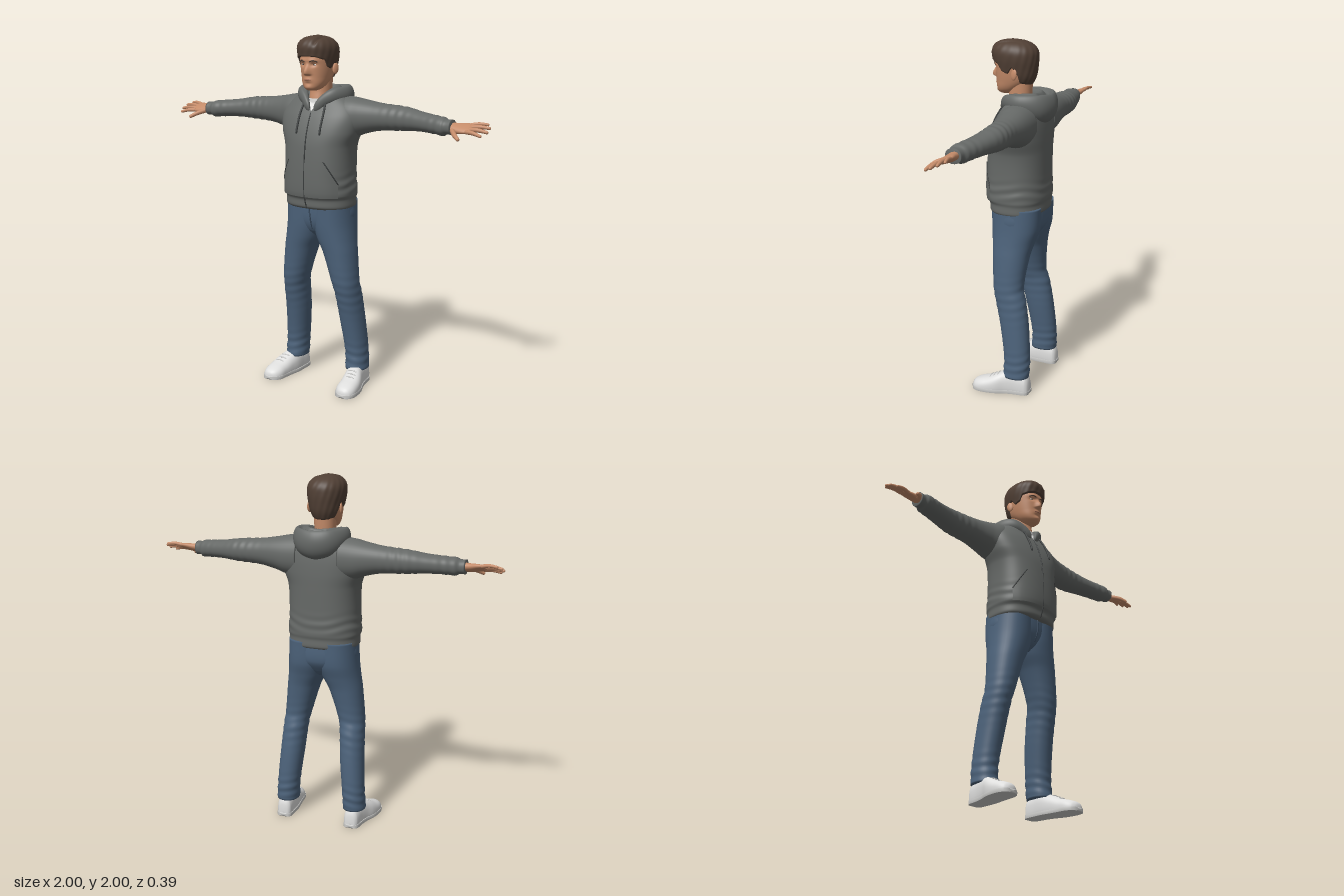
import * as THREE from 'three';
import { mergeVertices } from 'three/addons/utils/BufferGeometryUtils.js';

const paint = (name, color) => Object.assign(new THREE.MeshStandardMaterial({ color }), { name });
const skin = paint('skin', 0xc48b69), hairMat = paint('hair', 0x514035), grey = paint('hoodie', 0x666967);
const dark = paint('cord', 0x3d4040), white = paint('shirt', 0xe6e6e4), denim = paint('denim', 0x4c627a);
const seamMat = paint('denim seam', 0x3b4d61), shoeMat = paint('shoe', 0xdededd), lipMat = paint('lips', 0xa8705a);
const soleMat = paint('sole', 0xc9c9c7);

const V = (x, y, z) => new THREE.Vector3(x, y, z);
const gauss = (d, w) => Math.exp(-((d / w) ** 2));
const { smoothstep, lerp } = THREE.MathUtils;

// Smooth grid surface; closed ones are capped, open ones face +z
function surface(nu, nv, fn, closed = true) {
  const rows = [];
  for (let i = 0; i <= nu; i++) rows.push(Array.from({ length: nv + 1 }, (_, j) => fn(i / nu, j / nv)));
  if (closed) {
    const pole = (r) => {
      const c = V(0, 0, 0);
      r.slice(0, nv).forEach((p) => c.addScaledVector(p, 1 / nv));
      return r.map(() => c);
    };
    rows.unshift(pole(rows[0]));
    rows.push(pole(rows[rows.length - 1]));
  }
  const pts = rows.flat(), idx = [], w = nv + 1;
  for (let i = 0; i < rows.length - 1; i++) for (let j = 0; j < nv; j++) {
    const a = i * w + j;
    idx.push(a, a + 1, a + w, a + 1, a + w + 1, a + w);
  }
  let sum = 0;
  for (let k = 0; k < idx.length; k += 3) {
    const [a, b, c] = [pts[idx[k]], pts[idx[k + 1]], pts[idx[k + 2]]];
    sum += closed ? a.dot(b.clone().cross(c)) : b.clone().sub(a).cross(c.clone().sub(a)).z;
  }
  if (sum < 0) idx.reverse();
  let g = new THREE.BufferGeometry().setFromPoints(pts);
  g.setIndex(idx);
  g = mergeVertices(g, 1e-5);
  g.computeVertexNormals();
  return g;
}

// Smooth interpolation of rings [position, low, high, low, high]
function sample(r, t) {
  let i = 0;
  while (i < r.length - 2 && t > r[i + 1][0]) i++;
  const slope = (j, k) => {
    const a = r[Math.max(j - 1, 0)], b = r[Math.min(j + 1, r.length - 1)];
    return (b[k] - a[k]) / (b[0] - a[0]);
  };
  const h = r[i + 1][0] - r[i][0], s = THREE.MathUtils.clamp((t - r[i][0]) / h, 0, 1), q = s * s, c = q * s;
  return [1, 2, 3, 4].map((k) => (2 * c - 3 * q + 1) * r[i][k] + (c - 2 * q + s) * h * slope(i, k)
    + (3 * q - 2 * c) * r[i + 1][k] + (c - q) * h * slope(i + 1, k));
}

function ringPoint(rings, t, a, n, k = 1) {
  const [l1, h1, l2, h2] = sample(rings, t), c = Math.cos(a), s = Math.sin(a);
  const f = (v) => Math.sign(v) * Math.abs(v) ** (2 / n) * k;
  return [(l1 + h1) / 2 + f(c) * (h1 - l1) / 2, (l2 + h2) / 2 + f(s) * (h2 - l2) / 2];
}

function loft(axis, rings, { n = 2.2, nu = 60, nv = 40, scale = () => 1, bump = (p) => p } = {}) {
  const t0 = rings[0][0], t1 = rings[rings.length - 1][0];
  return surface(nu, nv, (u, v) => {
    const t = lerp(t0, t1, u), a = v * Math.PI * 2, [p, q] = ringPoint(rings, t, a, n, scale(t, a));
    return bump(axis === 'y' ? V(p, t, q) : axis === 'x' ? V(t, p, q) : V(p, q, t));
  });
}

// Tapered tube with round ends
function sweep(points, radii, up = V(0, 1, 0), nu = 20, nv = 14, bump = () => 0) {
  const path = new THREE.CatmullRomCurve3(points);
  return surface(nu, nv, (k, v) => {
    const u = (1 - Math.cos(Math.PI * k)) / 2, f = u * (radii.length - 1), i = Math.min(Math.floor(f), radii.length - 2);
    const r = [0, 1].map((j) => lerp(radii[i][j], radii[i + 1][j], f - i));
    const end = Math.min(u, 1 - u), round = Math.sqrt(Math.max(0.02, 1 - Math.max(0, 1 - end / 0.06) ** 2));
    const T = path.getTangent(u), N = T.clone().cross(up).normalize(), B = N.clone().cross(T), a = v * Math.PI * 2;
    const p = path.getPoint(u).addScaledVector(N, Math.cos(a) * r[0] * round).addScaledVector(B, Math.sin(a) * r[1] * round);
    p.y += bump(u, a);
    return p;
  });
}

function mirror(g) {
  const m = g.clone().applyMatrix4(new THREE.Matrix4().makeScale(-1, 1, 1));
  m.setIndex(Array.from(g.index.array).reverse());
  m.computeVertexNormals();
  return m;
}

// Symmetric rings [y, half width, back, front]
const sym = (rows) => rows.map(([y, w, b, f]) => [y, -w, w, b, f]);
const frontZ = (rings, n, x, y) => {
  const [, w, b, f] = sample(rings, y);
  return (b + f) / 2 + (f - b) / 2 * Math.max(0, 1 - Math.abs(x / w) ** n) ** (1 / n);
};

const torso = sym([[1.055, 0.192, -0.14, 0.155], [1.065, 0.2, -0.15, 0.166], [1.11, 0.2, -0.15, 0.17], [1.13, 0.206, -0.155, 0.184],
  [1.25, 0.2, -0.153, 0.187], [1.4, 0.205, -0.153, 0.177], [1.48, 0.232, -0.152, 0.16], [1.56, 0.243, -0.146, 0.13],
  [1.62, 0.22, -0.135, 0.096], [1.665, 0.16, -0.115, 0.07], [1.7, 0.08, -0.07, 0.05]]);
const head = sym([[1.705, 0.022, 0.07, 0.125], [1.715, 0.043, 0.04, 0.14], [1.74, 0.063, 0, 0.147], [1.78, 0.077, -0.05, 0.149],
  [1.83, 0.086, -0.072, 0.152], [1.88, 0.09, -0.078, 0.154], [1.93, 0.088, -0.07, 0.145], [1.965, 0.07, -0.045, 0.115], [1.98, 0.03, 0, 0.07]]);
const hair = sym([[1.75, 0.062, -0.05, 0.14], [1.8, 0.085, -0.074, 0.15], [1.85, 0.096, -0.084, 0.16], [1.9, 0.104, -0.088, 0.169],
  [1.94, 0.102, -0.083, 0.173], [1.97, 0.085, -0.06, 0.158], [1.99, 0.055, -0.02, 0.125], [2, 0.012, 0.035, 0.07]]);
const hairline = [[-1, 1.755], [-0.5, 1.768], [-0.3, 1.82], [-0.1, 1.855], [0.12, 1.82], [0.35, 1.83], [0.55, 1.872], [1, 1.888]];

// Nose, eye sockets, brow, lips and chin
function faceBump(x, y) {
  const down = smoothstep(1.862 - y, 0, 0.056), ax = Math.abs(x);
  return 0.028 * down * smoothstep(y, 1.785, 1.799) * gauss(x, 0.01 + 0.007 * down)
    - 0.009 * gauss(ax - 0.034, 0.017) * gauss(y - 1.846, 0.011) + 0.004 * gauss(y - 1.868, 0.01) * gauss(ax - 0.03, 0.03)
    + 0.005 * gauss(x, 0.022) * gauss(y - 1.765, 0.011) - 0.003 * gauss(x, 0.02) * gauss(y - 1.745, 0.007)
    + 0.006 * gauss(x, 0.022) * gauss(y - 1.722, 0.012);
}
const faceZ = (x, y) => frontZ(head, 2.2, x, y) + faceBump(x, y);
const chestZ = (x, y) => frontZ(torso, 2.4, x, y);

export function createModel() {
  const model = new THREE.Group();
  const add = (name, g, m) => {
    const mesh = new THREE.Mesh(g, m);
    mesh.name = name;
    model.add(mesh);
  };
  const pair = (name, g, m) => { add(name + 'Left', g, m); add(name + 'Right', mirror(g), m); };
  const line = (zAt, pts, r, lift = 0) => sweep(pts.map(([x, y]) => V(x, y, zAt(x, y) + lift)), [[r, r], [r, r]], V(0, 0, 1), 14, 8);

  // Head and face
  add('head', loft('y', head, { nu: 90, nv: 128, bump: (p) => {
    if (p.z > 0.06) p.z += faceBump(p.x, p.y);
    return p;
  } }), skin);
  add('neck', loft('y', sym([[1.6, 0.05, -0.04, 0.085], [1.65, 0.055, -0.045, 0.088], [1.7, 0.058, -0.05, 0.078], [1.78, 0.06, -0.055, 0.075]])), skin);
  const ball = (x, y, z, a, b, c) => mergeVertices(new THREE.SphereGeometry(1, 20, 14).scale(a, b, c).translate(x, y, z));
  pair('eye', ball(0.034, 1.846, faceZ(0.034, 1.846) - 0.003, 0.012, 0.0055, 0.006), white);
  pair('iris', ball(0.034, 1.846, faceZ(0.034, 1.846) + 0.001, 0.0048, 0.005, 0.0035), hairMat);
  pair('eyebrow', line(faceZ, [[0.014, 1.862], [0.035, 1.868], [0.055, 1.861]], 0.0035), hairMat);
  pair('ear', ball(0, 0, 0, 0.009, 0.031, 0.02).rotateY(-0.35).rotateX(-0.15).translate(0.092, 1.822, 0.012), skin);
  add('lips', line(faceZ, [[-0.022, 1.764], [0, 1.766], [0.022, 1.764]], 0.0035), lipMat);

  // Swept hair with a side parting
  add('hair', surface(44, 110, (u, v) => {
    const a = v * Math.PI * 2, s = Math.sin(a), i = Math.max(1, hairline.findIndex((h) => s <= h[0]));
    const [A, B] = [hairline[i - 1], hairline[i]], y0 = lerp(A[1], B[1], smoothstep(s, A[0], B[0]));
    const y = lerp(y0, 2, Math.sin(u * Math.PI / 2)), k = u === 0 ? 0.87 : 1 + 0.008 * Math.sin(a * 17 + y * 50);
    const [x, z] = ringPoint(hair, y, a, 2.2, k);
    return V(x, y - 0.01 * gauss(x - 0.045, 0.009) * smoothstep(z, -0.02, 0.08) * smoothstep(y, 1.93, 1.97), z);
  }), hairMat);

  // Hoodie body, sleeves and cuffs
  add('hoodieBody', loft('y', torso, { n: 2.4, nu: 90, nv: 72,
    scale: (t, a) => 1 + 0.012 * gauss(t - 1.19, 0.05) * Math.sin(t * 110 + 2 * Math.sin(a * 3)) }), grey);
  pair('sleeve', loft('x', [[0.12, 1.44, 1.675, -0.138, 0.075], [0.2, 1.45, 1.667, -0.138, 0.07], [0.26, 1.472, 1.656, -0.134, 0.048],
    [0.35, 1.493, 1.642, -0.125, 0.028], [0.5, 1.503, 1.63, -0.12, 0.018], [0.6, 1.509, 1.613, -0.096, 0.03],
    [0.7, 1.506, 1.602, -0.066, 0.05], [0.75, 1.502, 1.597, -0.05, 0.058], [0.763, 1.511, 1.589, -0.04, 0.05], [0.797, 1.511, 1.589, -0.033, 0.052]],
  { nu: 100, scale: (t, a) => 1 + 0.025 * (gauss(t - 0.46, 0.08) + gauss(t - 0.7, 0.05)) * Math.sin(t * 130 + 2 * Math.sin(a)) }), grey);

  // Hood lying round the neck, folded open at the back
  const half = [[0.07, 1.66, -0.11], [0.11, 1.675, -0.03], [0.097, 1.675, 0.04], [0.055, 1.645, 0.085], [0.018, 1.595, 0.112]];
  const thick = [[0.06, 0.085], [0.05, 0.06], [0.034, 0.045], [0.02, 0.03], [0.01, 0.02]];
  const hoodPath = [...half.map((p) => V(-p[0], p[1], p[2])).reverse(), V(0, 1.65, -0.13), ...half.map((p) => V(...p))];
  add('hood', sweep(hoodPath, [...thick.slice().reverse(), [0.066, 0.092], ...thick], V(0, 1, 0), 80, 48,
    (u, a) => -0.06 * gauss(u - 0.5, 0.2) * gauss(a - Math.PI / 2, 0.4)), grey);

  // Shirt, pocket, zip and cords following the chest
  const patch = (w, y0, y1, zAt) => surface(14, 20, (u, v) => {
    const y = lerp(y0, y1, u), x = (v * 2 - 1) * w(y);
    return V(x, y, zAt(x, y));
  }, false);
  add('shirt', patch((y) => 0.002 + (y - 1.595) * 0.55, 1.595, 1.66, (x, y) => Math.max(chestZ(x, y), 0.088 - x * x * 8) + 0.005), white);
  const pocketW = (y) => (y < 1.2 ? 0.178 : lerp(0.178, 0.11, (y - 1.2) / 0.13));
  add('frontPocket', patch(pocketW, 1.125, 1.33, (x, y) => chestZ(x, y) + 0.005), grey);
  pair('pocketSeam', line(chestZ, [[0.178, 1.2], [0.15, 1.262], [0.11, 1.33]], 0.004, 0.004), dark);
  add('zip', line(chestZ, [[0, 1.06], [0, 1.13], [0, 1.25], [0, 1.4], [0, 1.5], [0, 1.59]], 0.0035, 0.003), dark);
  for (const x of [-0.065, 0.083]) add('drawCord', line(chestZ, [[x * 0.9, 1.645], [x, 1.58], [x, 1.52], [x, 1.47]], 0.006, 0.008), dark);

  // Hands, palm down and tilted forward
  const place = (g) => g.rotateX(0.42).translate(0.79, 1.55, 0.008);
  pair('palm', place(loft('x', [[-0.02, -0.024, 0.024, -0.03, 0.032], [0.03, -0.022, 0.02, -0.035, 0.042],
    [0.07, -0.017, 0.017, -0.044, 0.047], [0.1, -0.012, 0.013, -0.044, 0.044], [0.115, -0.007, 0.008, -0.036, 0.036]], { nu: 24, nv: 28 })), skin);
  const fingers = [[0.09, -0.034, 0.185, -0.056, 0.0095], [0.098, -0.012, 0.206, -0.022, 0.0105],
    [0.098, 0.012, 0.209, 0.02, 0.011], [0.09, 0.034, 0.188, 0.062, 0.0105], [0.015, 0.028, 0.085, 0.112, 0.0125]];
  for (const [x0, z0, x1, z1, r] of fingers) {
    const pts = [V(x0, 0, z0), V((x0 + x1) / 2, 0.004, (z0 + z1) / 2 + (r > 0.012 ? 0.008 : 0)), V(x1, -0.004, z1)];
    pair('finger', place(sweep(pts, [[r * 1.1, r * 1.1], [r, r], [r * 0.72, r * 0.72]])), skin);
  }

  // Jeans
  add('jeansHips', loft('y', sym([[0.885, 0.04, -0.07, 0.07], [0.92, 0.13, -0.105, 0.108], [0.98, 0.195, -0.14, 0.132], [1.09, 0.195, -0.143, 0.14]])), denim);
  pair('jeansLeg', loft('y', [[0.098, 0.145, 0.272, -0.128, 0.026], [0.2, 0.14, 0.266, -0.13, 0.02], [0.4, 0.118, 0.253, -0.115, 0.05],
    [0.56, 0.105, 0.243, -0.09, 0.086], [0.62, 0.092, 0.239, -0.073, 0.099], [0.8, 0.035, 0.222, -0.092, 0.118],
    [0.88, -0.005, 0.211, -0.112, 0.128], [0.96, -0.03, 0.203, -0.136, 0.136], [1.09, -0.03, 0.196, -0.145, 0.143]],
  { nu: 110, scale: (t, a) => 1 + (0.03 * gauss(t - 0.17, 0.07) + 0.015 * gauss(t - 0.56, 0.1)) * Math.sin(t * 120 + 2 * Math.sin(a + 1)) }), denim);
  add('fly', sweep([V(0.004, 0.93, 0.112), V(0.006, 0.99, 0.136), V(0, 1.06, 0.141)], [[0.004, 0.004], [0.004, 0.004]], V(0, 0, 1)), seamMat);

  // Shoes
  const shoe = [[-0.135, 0.185, 0.235, -0.03, 0.075], [-0.12, 0.17, 0.25, -0.03, 0.11], [-0.05, 0.167, 0.262, -0.03, 0.13],
    [0, 0.168, 0.275, -0.03, 0.126], [0.05, 0.176, 0.295, -0.03, 0.106], [0.1, 0.183, 0.305, -0.03, 0.083],
    [0.15, 0.189, 0.306, -0.03, 0.067], [0.183, 0.207, 0.293, -0.03, 0.052], [0.197, 0.23, 0.272, -0.02, 0.036]];
  pair('shoe', loft('z', shoe, { n: 2.4, nu: 50, bump: (p) => p.setY(Math.max(p.y, 0.004)) }), shoeMat);
  pair('sole', loft('z', shoe.map(([z, a, b]) => [z * 1.01, a - 0.003, b + 0.003, -0.05, 0.07]),
    { n: 2.6, nu: 50, bump: (p) => p.setY(THREE.MathUtils.clamp(p.y, 0, 0.02)) }), soleMat);
  for (const z of [0.045, 0.068, 0.09]) {
    const [a, b, , top] = sample(shoe, z), m = (a + b) / 2;
    pair('lace', sweep([V(m - 0.026, top - 0.005, z), V(m, top + 0.001, z), V(m + 0.026, top - 0.005, z)], [[0.004, 0.004], [0.004, 0.004]], V(0, 1, 0), 10, 8), soleMat);
  }
  return model;
}
